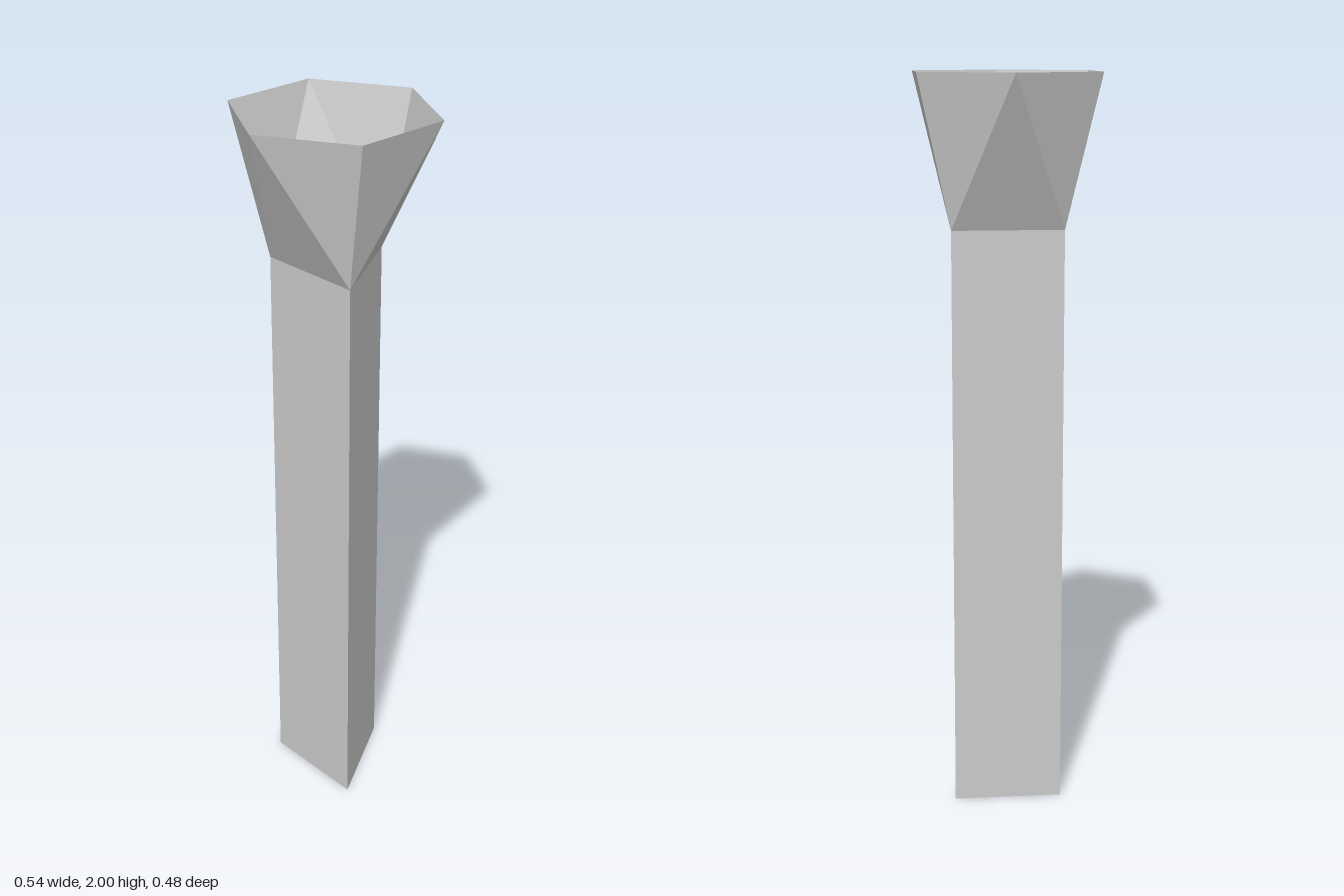
import * as THREE from 'three';

const STEM_R = 0.171, STEM_H = 1.6, TOP = 2;
const RIM_X = 0.271, RIM_Z = 0.2755;

// Point on a ring around the y axis
const ring = (angle, y, rx, rz = rx) => [rx * Math.cos(angle), y, rz * Math.sin(angle)];

// Flared cup joining the triangular stem to a six-sided rim
function flareGeometry() {
  const pos = [];
  const stem = (i) => ring((i * 2 * Math.PI) / 3, STEM_H, STEM_R);
  const rim = (i) => ring((i * Math.PI) / 3, TOP, RIM_X, RIM_Z);
  for (let i = 0; i < 3; i++) {
    const a = stem(i), b = stem(i + 1);
    const before = rim(2 * i - 1), corner = rim(2 * i), after = rim(2 * i + 1);
    pos.push(...a, ...before, ...corner); // two facets fan out from each stem corner
    pos.push(...a, ...corner, ...after);
    pos.push(...a, ...after, ...b); // one facet rises from each stem side
  }
  const g = new THREE.BufferGeometry();
  g.setAttribute('position', new THREE.Float32BufferAttribute(pos, 3));
  g.computeVertexNormals();
  return g;
}

export function createModel() {
  const model = new THREE.Group();
  model.name = 'flaredPost';

  const grey = new THREE.MeshStandardMaterial({ color: 0xcccccc, flatShading: true, side: THREE.DoubleSide });
  grey.name = 'light grey';

  // Hollow three-sided stem, open at both ends
  const stem = new THREE.Mesh(
    new THREE.CylinderGeometry(STEM_R, STEM_R, STEM_H, 3, 1, true, Math.PI / 2), grey);
  stem.position.y = STEM_H / 2;
  stem.name = 'stem';

  const flare = new THREE.Mesh(flareGeometry(), grey);
  flare.name = 'flare';

  model.add(stem, flare);
  return model;
}
